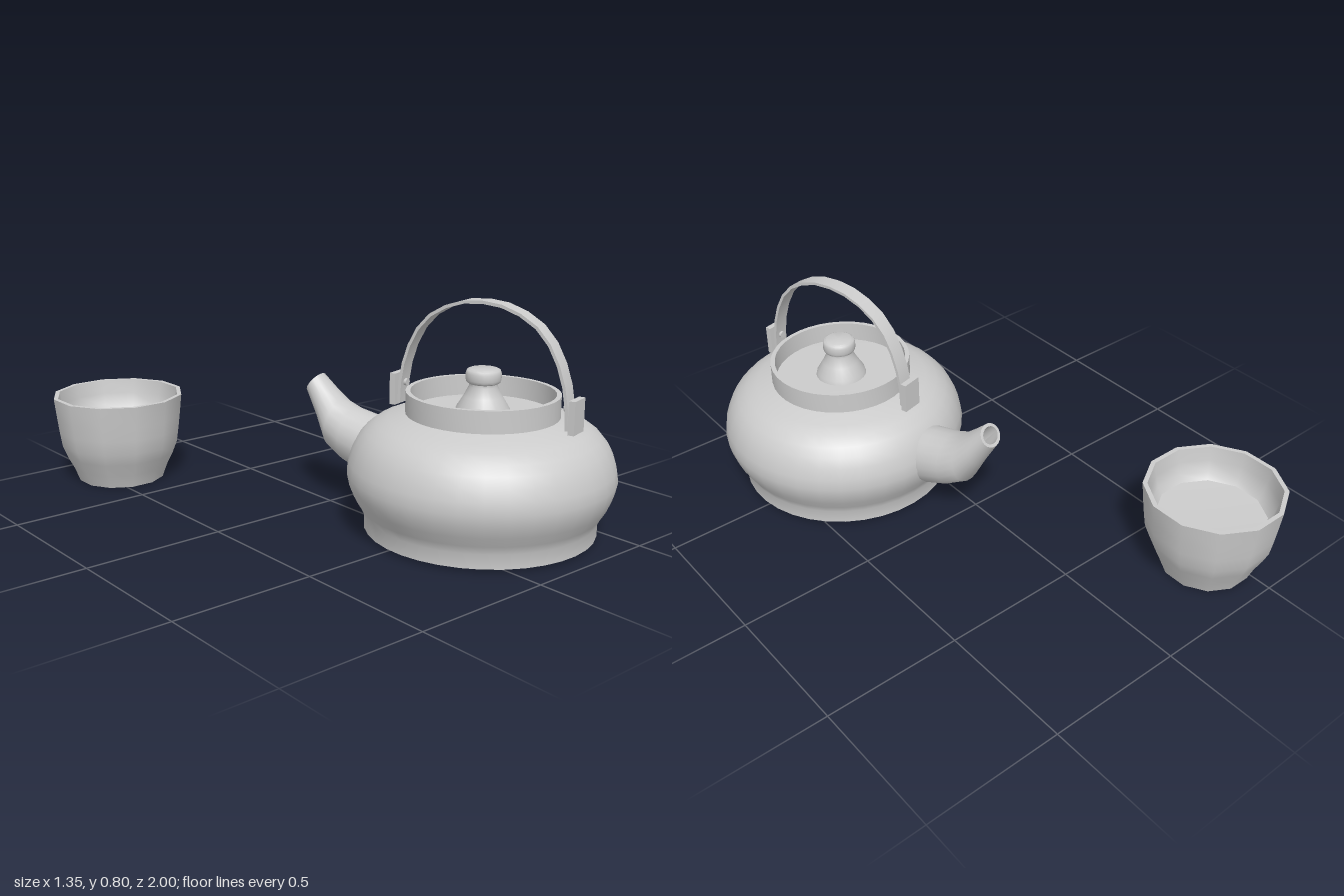
import * as THREE from 'three';
import { toCreasedNormals } from 'three/addons/utils/BufferGeometryUtils.js';

const grey = new THREE.MeshStandardMaterial({ color: 0xcccccc, side: THREE.DoubleSide });

function mesh(name, geometry, parent) {
  const m = new THREE.Mesh(geometry, grey);
  m.name = name;
  parent.add(m);
  return m;
}

// Turned part from [radius, y] pairs, running up the outside
function turned(profile, sides, scale = 1, start = 0) {
  const pts = profile.map(([r, y]) => new THREE.Vector2(r * scale, y));
  return toCreasedNormals(new THREE.LatheGeometry(pts, sides, start), 0.75);
}

// Spout skin: each section is [top distance, top y, bottom distance, bottom y, half width]
function spoutGeometry(sections, sides) {
  const pos = [], index = [];
  sections.forEach(([td, ty, bd, by, w], i) => {
    for (let j = 0; j < sides; j++) {
      const a = (j / sides) * Math.PI * 2, c = Math.cos(a) / 2;
      pos.push(w * Math.sin(a), (ty + by) / 2 + (ty - by) * c, -((td + bd) / 2 + (td - bd) * c));
      if (i < sections.length - 1) {
        const k = (j + 1) % sides, A = i * sides + j, B = i * sides + k;
        index.push(A, B, A + sides, B, B + sides, A + sides);
      }
    }
  });
  const g = new THREE.BufferGeometry();
  g.setAttribute('position', new THREE.Float32BufferAttribute(pos, 3));
  g.setIndex(index);
  return toCreasedNormals(g, 0.75);
}

// Flat strap bent along an arch, standing in the local yz plane
function strapGeometry(half, thickness, width) {
  const mirrored = half.slice(0, -1).reverse().map(([x, y]) => [-x, y]);
  const curve = new THREE.CatmullRomCurve3(
    [...half, ...mirrored].map(([x, y]) => new THREE.Vector3(x, y, 0)));
  const outer = [], inner = [];
  for (let i = 0; i <= 16; i++) {
    const p = curve.getPointAt(i / 16), t = curve.getTangentAt(i / 16);
    outer.push(new THREE.Vector2(p.x, p.y));
    inner.unshift(new THREE.Vector2(p.x - t.y * thickness, p.y + t.x * thickness));
  }
  const g = new THREE.ExtrudeGeometry(new THREE.Shape([...outer, ...inner]),
    { depth: width, bevelEnabled: false });
  g.translate(0, 0, -width / 2).rotateY(-Math.PI / 2);
  return toCreasedNormals(g, 0.6);
}

function createTeapot() {
  const pot = new THREE.Group();
  pot.name = 'teapot';

  // Body with a shallow recessed base
  mesh('body', turned([
    [0, 0.025], [0.375, 0.025], [0.38, 0.01], [0.397, 0.01], [0.398, 0.06], [0.412, 0.09],
    [0.433, 0.125], [0.449, 0.165], [0.457, 0.205], [0.451, 0.245], [0.438, 0.285],
    [0.42, 0.32], [0.395, 0.35], [0.36, 0.376], [0.32, 0.393], [0.258, 0.41],
  ], 36), pot);

  // Raised collar around the sunken lid
  mesh('collar', turned([
    [0.26, 0.4], [0.26, 0.485], [0.244, 0.485], [0.244, 0.4],
  ], 36), pot);
  mesh('lid', turned([[0.246, 0.413], [0, 0.418]], 36), pot);

  // Flared knob with a rounded cap
  mesh('lidKnob', turned([
    [0.095, 0.412], [0.09, 0.43], [0.066, 0.47], [0.048, 0.505], [0.048, 0.514],
    [0.057, 0.519], [0.06, 0.528], [0.06, 0.55], [0.056, 0.56], [0.048, 0.564], [0, 0.564],
  ], 24), pot);

  // Tapered spout with a hollow mouth
  mesh('spout', spoutGeometry([
    [0.36, 0.32, 0.36, 0.11, 0.1],
    [0.45, 0.335, 0.45, 0.115, 0.105],
    [0.52, 0.348, 0.54, 0.148, 0.101],
    [0.577, 0.372, 0.615, 0.192, 0.09],
    [0.628, 0.415, 0.664, 0.285, 0.066],
    [0.672, 0.455, 0.722, 0.385, 0.048],
    [0.68, 0.446, 0.714, 0.394, 0.037],
    [0.635, 0.396, 0.655, 0.305, 0.04],
    [0.6, 0.32, 0.6, 0.32, 0],
  ], 20), pot);

  // Arched handle
  mesh('handle', strapGeometry([
    [0.322, 0.405], [0.316, 0.5], [0.286, 0.61], [0.219, 0.716], [0.11, 0.779], [0, 0.796],
  ], 0.011, 0.055), pot);

  // Brackets holding both handle ends
  for (const s of [1, -1]) {
    const bracket = new THREE.Group();
    bracket.name = s > 0 ? 'frontBracket' : 'backBracket';
    mesh('plate', new THREE.BoxGeometry(0.076, 0.112, 0.022), bracket).position.set(0, 0.452, s * 0.337);
    const pin = mesh('pin', new THREE.CylinderGeometry(0.013, 0.013, 0.03, 12), bracket);
    pin.rotation.x = Math.PI / 2;
    pin.position.set(0, 0.475, s * 0.312);
    pot.add(bracket);
  }
  return pot;
}

// Twelve-sided handleless cup with its flats on the axes
function createCup() {
  const cup = new THREE.Group();
  cup.name = 'cup';
  mesh('cupBody', turned([
    [0, 0], [0.158, 0], [0.176, 0.05], [0.2, 0.1], [0.217, 0.145], [0.225, 0.2], [0.231, 0.25],
    [0.24, 0.333], [0.224, 0.333], [0.216, 0.28], [0.205, 0.235], [0.187, 0.21], [0, 0.2],
  ], 12, 1 / Math.cos(Math.PI / 12), Math.PI / 12), cup);
  return cup;
}

export function createModel() {
  const model = new THREE.Group();
  model.name = 'teaSet';
  const pot = createTeapot();
  pot.position.set(0.215, 0, 0.542);
  pot.rotation.y = 0.25;
  const cup = createCup();
  cup.position.set(-0.437, 0, -0.76);
  model.add(pot, cup);
  return model;
}
